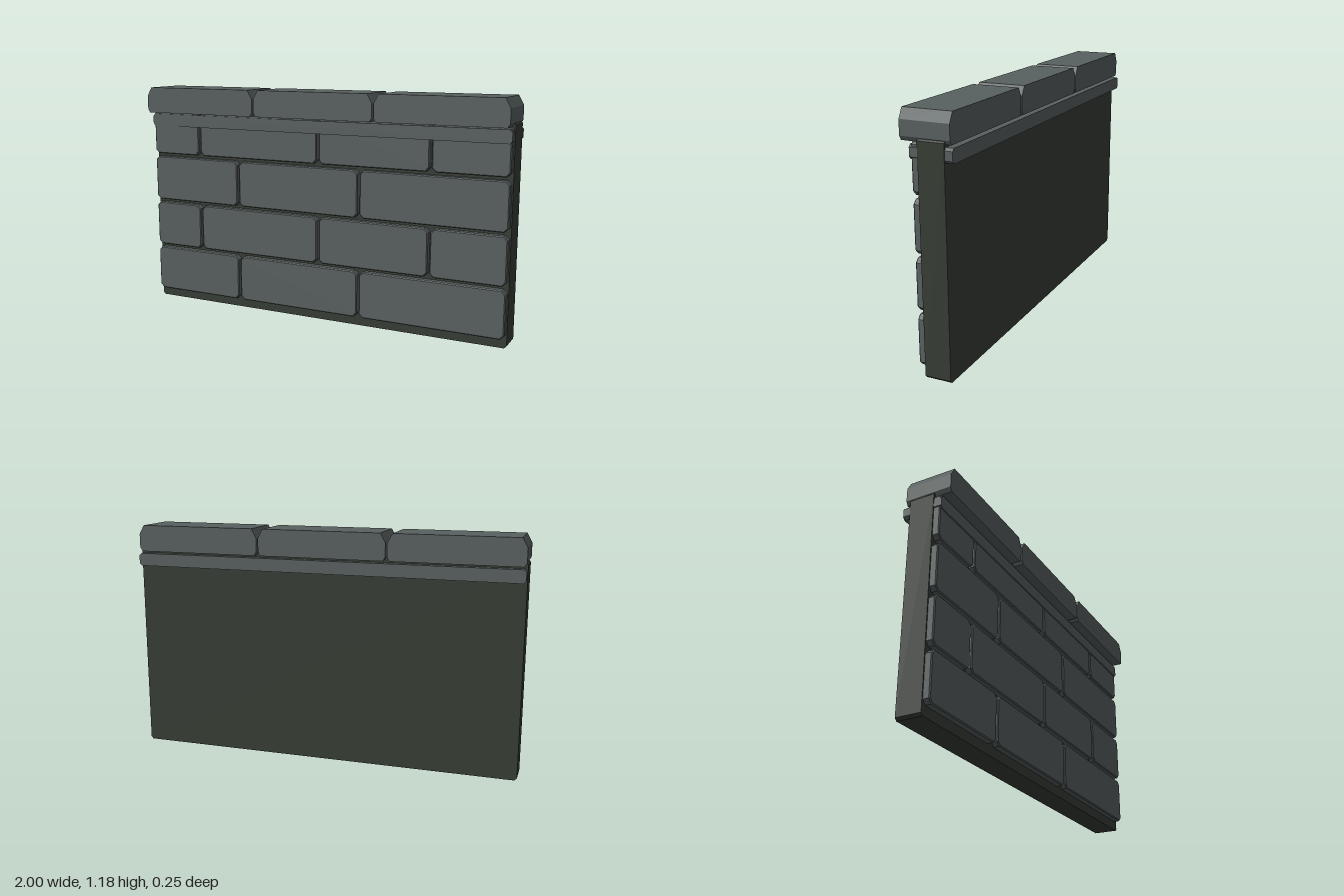
import * as THREE from 'three';

const stone = new THREE.MeshStandardMaterial({ color: 0x596160 });
stone.name = 'grey stone';
const mortar = new THREE.MeshStandardMaterial({ color: 0x373d35 });
mortar.name = 'dark mortar';

// Slab with clipped corners, extruded along z; top and bottom cuts are [x, y]
function slab(name, material, x0, x1, y0, y1, z0, z1, top, bottom, bevel = 0) {
  const [tx, ty] = top, [bx, by] = bottom;
  const b = bevel;
  const shape = new THREE.Shape([
    [x0 + bx, y0 + b], [x1 - bx, y0 + b], [x1 - b, y0 + by], [x1 - b, y1 - ty],
    [x1 - tx, y1 - b], [x0 + tx, y1 - b], [x0 + b, y1 - ty], [x0 + b, y0 + by],
  ].map(([x, y]) => new THREE.Vector2(x, y)));
  const geometry = new THREE.ExtrudeGeometry(shape, {
    depth: z1 - z0 - 2 * b,
    bevelEnabled: b > 0,
    bevelThickness: b,
    bevelSize: b,
    bevelSegments: 1,
  });
  geometry.translate(0, 0, z0 + b);
  const mesh = new THREE.Mesh(geometry, material);
  mesh.name = name;
  return mesh;
}

export function createModel() {
  const wall = new THREE.Group();
  wall.name = 'stoneWall';

  // Mortar core
  wall.add(slab('core', mortar, -1, 1, 0, 1.07, -0.085, 0.04, [0.012, 0.012], [0.012, 0.012]));

  // Four courses of bricks on the front, with staggered joints
  const bricks = new THREE.Group();
  bricks.name = 'bricks';
  const joints = [[-1, -0.46, 0.24, 1], [-1, -0.7, 0.013, 0.612, 1]];
  const rows = [[0.05, 0.291], [0.308, 0.549], [0.565, 0.806], [0.822, 1.06]];
  rows.forEach(([y0, y1], r) => {
    const xs = joints[r % 2];
    for (let i = 0; i < xs.length - 1; i++) {
      bricks.add(slab('brick', stone, xs[i] + 0.006, xs[i + 1] - 0.006, y0, y1,
        0.03, 0.073, [0.022, 0.022], [0.022, 0.022], 0.005));
    }
  });
  wall.add(bricks);

  // Thin ledge under the coping
  wall.add(slab('ledge', stone, -0.997, 0.997, 0.975, 1.04, -0.122, 0.08, [0.012, 0.012], [0.012, 0.012]));

  // Three coping stones
  const coping = new THREE.Group();
  coping.name = 'coping';
  for (const x of [-0.667, 0, 0.667]) {
    coping.add(slab('copingStone', stone, x - 0.329, x + 0.329, 1.05, 1.185,
      -0.111, 0.124, [0.026, 0.046], [0.012, 0.02]));
  }
  wall.add(coping);
  return wall;
}
